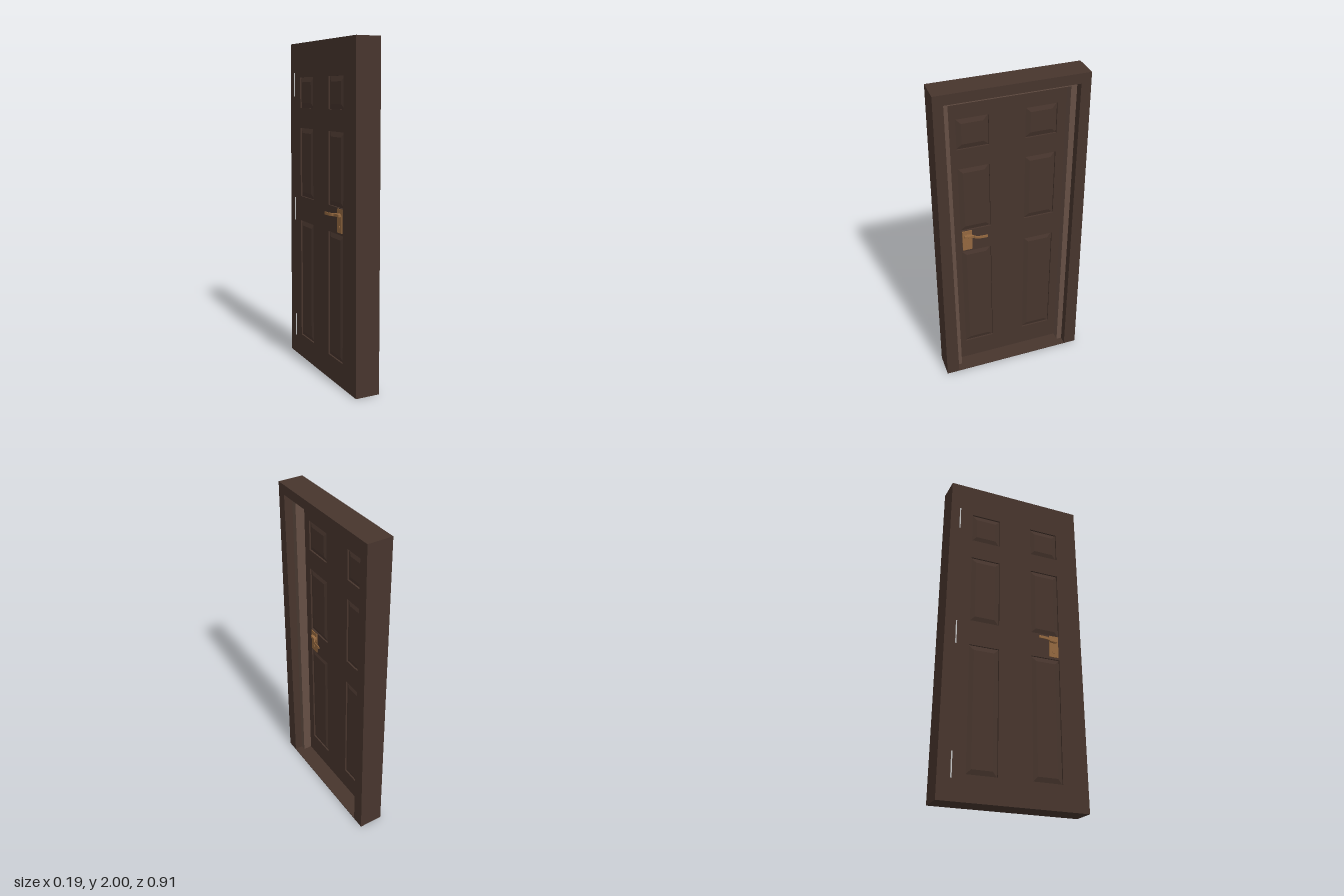
import * as THREE from 'three';

const wood = new THREE.MeshStandardMaterial({ color: 0x47352d });
const stopWood = new THREE.MeshStandardMaterial({ color: 0x654f44 });
const brass = new THREE.MeshStandardMaterial({ color: 0x94683f });
const steel = new THREE.MeshStandardMaterial({ color: 0xcccccc });

const BACK = -0.055, DOOR_FACE = -0.01, FRONT = 0.095;
const OPEN_W = 0.374, OPEN_TOP = 1.942, SILL = 0.004;

const poly = (Type, pts) => new Type(pts.map(([u, v]) => new THREE.Vector2(u, v)));
const rect = (Type, u0, v0, u1, v1) => poly(Type, [[u0, v0], [u1, v0], [u1, v1], [u0, v1]]);

function add(parent, name, geometry, material, x = 0, y = 0, z = 0) {
  const mesh = new THREE.Mesh(geometry, material);
  mesh.name = name;
  mesh.position.set(x, y, z);
  parent.add(mesh);
  return mesh;
}

// Extrudes a door-plane outline along x, from x0 over the given depth
function slab(shape, x0, depth, bevel = {}) {
  const g = new THREE.ExtrudeGeometry(shape, { depth, bevelEnabled: false, ...bevel });
  return g.rotateY(Math.PI / 2).translate(x0, 0, 0);
}

// Curved lever seen from above: distance out from the door against z, lying flat
function leverGeometry() {
  const s = new THREE.Shape();
  const v = (d, z) => new THREE.Vector2(d, -z);
  s.moveTo(0.004, -0.018);
  s.lineTo(0.018, -0.018);
  s.splineThru([v(0.022, -0.012), v(0.024, -0.03), v(0.034, -0.043), v(0.041, -0.07), v(0.043, -0.115)]
    .map((p, i) => (i === 0 ? v(0.021, 0.006) : p)));
  s.lineTo(0.038, 0.115);
  s.splineThru([v(0.036, -0.07), v(0.029, -0.048), v(0.017, -0.034), v(0.004, -0.026)]);
  s.closePath();
  const g = new THREE.ExtrudeGeometry(s, {
    depth: 0.014, bevelThickness: 0.002, bevelSize: 0.0015, bevelOffset: -0.0015, bevelSegments: 2, curveSegments: 8,
  });
  return g.translate(0, 0, -0.007).rotateX(-Math.PI / 2);
}

function handle(name, faceX, side) {
  const group = new THREE.Group();
  group.name = name;
  const disc = (r, len) => new THREE.CylinderGeometry(r, r, len, 20).rotateZ(Math.PI / 2);
  add(group, 'handlePlate', new THREE.BoxGeometry(0.005, 0.138, 0.06), brass, side * 0.0025, 0.987, 0.252);
  add(group, 'handleNeck', disc(0.012, 0.018), brass, side * 0.009, 1.02, 0.252);
  add(group, 'lockCylinder', disc(0.009, 0.009), brass, side * 0.0045, 0.95, 0.252);
  const lever = add(group, 'lever', leverGeometry(), brass, 0, 1.02, 0.252);
  if (side < 0) lever.rotation.z = Math.PI;
  group.position.x = faceX;
  return group;
}

export function createModel() {
  const model = new THREE.Group();
  model.name = 'door';

  // Frame, slightly wider at the foot, with a very thin sill
  const outline = poly(THREE.Shape, [[-0.453, 0], [0.453, 0], [0.43, 2], [-0.43, 2]]);
  outline.holes.push(rect(THREE.Path, -OPEN_W, SILL, OPEN_W, OPEN_TOP));
  add(model, 'frame', slab(outline, BACK, FRONT - BACK), wood);

  // Door stop lining the opening
  const w = OPEN_W, i = 0.34, top = 1.91;
  const stop = poly(THREE.Shape, [[-w, SILL], [-i, SILL], [-i, top], [i, top], [i, SILL], [w, SILL], [w, OPEN_TOP], [-w, OPEN_TOP]]);
  add(model, 'doorStop', slab(stop, DOOR_FACE, 0.055), stopWood);

  // Door leaf with six raised-and-fielded panels
  const leaf = rect(THREE.Shape, -w, SILL, w, OPEN_TOP);
  const bevel = 0.03, recess = 0.01, thick = DOOR_FACE - BACK;
  for (const [y0, y1] of [[0.15, 0.905], [1.06, 1.487], [1.61, 1.795]]) {
    for (const [u0, u1] of [[-0.29, -0.105], [0.105, 0.29]]) {
      leaf.holes.push(rect(THREE.Path, u0, y0, u1, y1));
      const field = rect(THREE.Shape, u0 + bevel, y0 + bevel, u1 - bevel, y1 - bevel);
      add(model, 'panel', slab(field, BACK + recess, thick - 2 * recess, {
        bevelEnabled: true, bevelThickness: recess, bevelSize: bevel, bevelSegments: 1,
      }), wood);
    }
  }
  add(model, 'doorLeaf', slab(leaf, BACK, thick), wood);

  // Lever handles on both faces
  model.add(handle('frontHandle', DOOR_FACE, 1), handle('backHandle', BACK, -1));

  // Hinge knuckles on the flush side
  for (const y of [0.195, 0.97, 1.75]) {
    add(model, 'hinge', new THREE.CylinderGeometry(0.004, 0.004, 0.145, 12), steel, BACK - 0.001, y, -0.372);
  }
  return model;
}
